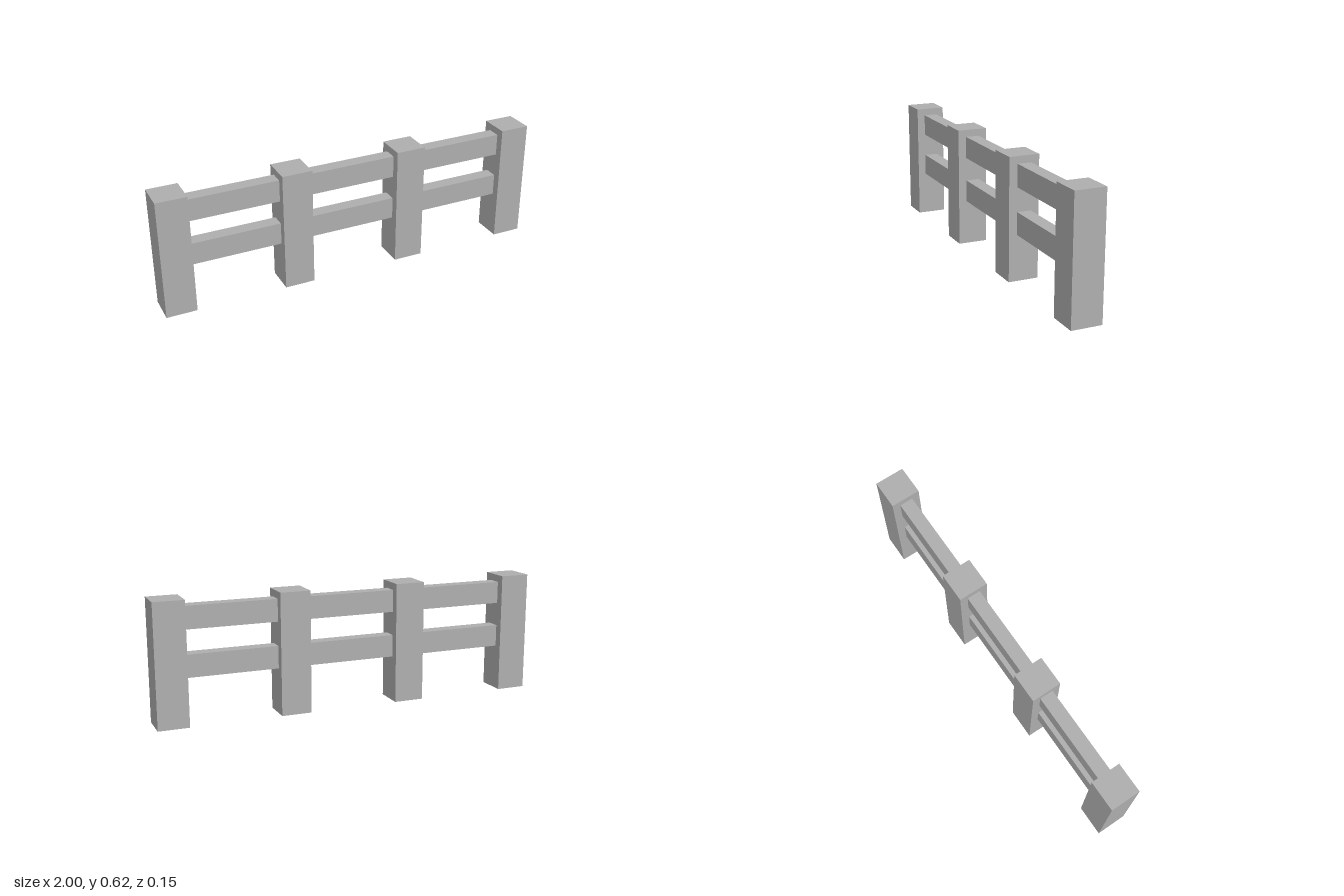
import * as THREE from 'three';

// Box with some of its faces left out (0 +x, 1 -x, 2 +y, 3 -y, 4 +z, 5 -z)
function openBox(width, height, depth, omitted) {
  const geometry = new THREE.BoxGeometry(width, height, depth);
  const kept = Array.from(geometry.index.array)
    .filter((_, i) => !omitted.includes(Math.floor(i / 6)));
  geometry.setIndex(kept);
  geometry.clearGroups();
  return geometry;
}

export function createModel() {
  const fence = new THREE.Group();
  fence.name = 'fence';

  const grey = new THREE.MeshStandardMaterial({ color: 0xb0b0b0, side: THREE.DoubleSide });
  grey.name = 'grey';

  const postCount = 4;
  const postWidth = 0.154;
  const postHeight = 0.616;
  const spacing = (2 - postWidth) / (postCount - 1);
  const railHeight = 0.113;
  const railLength = spacing - postWidth;

  const add = (name, geometry, x, y) => {
    const mesh = new THREE.Mesh(geometry, grey);
    mesh.name = name;
    mesh.position.set(x, y, 0);
    fence.add(mesh);
  };

  // Square posts, hollow and open underneath
  const postGeometry = openBox(postWidth, postHeight, postWidth, [3]);
  for (let i = 0; i < postCount; i++) {
    add(`post${i + 1}`, postGeometry, (i - (postCount - 1) / 2) * spacing, postHeight / 2);
  }

  // Two rails in every gap, open where they meet the posts
  const railGeometry = openBox(railLength, railHeight, 0.07, [0, 1]);
  for (let i = 0; i < postCount - 1; i++) {
    const x = (i - (postCount - 2) / 2) * spacing;
    add(`lowerRail${i + 1}`, railGeometry, x, 0.289);
    add(`upperRail${i + 1}`, railGeometry, x, 0.523);
  }

  return fence;
}
